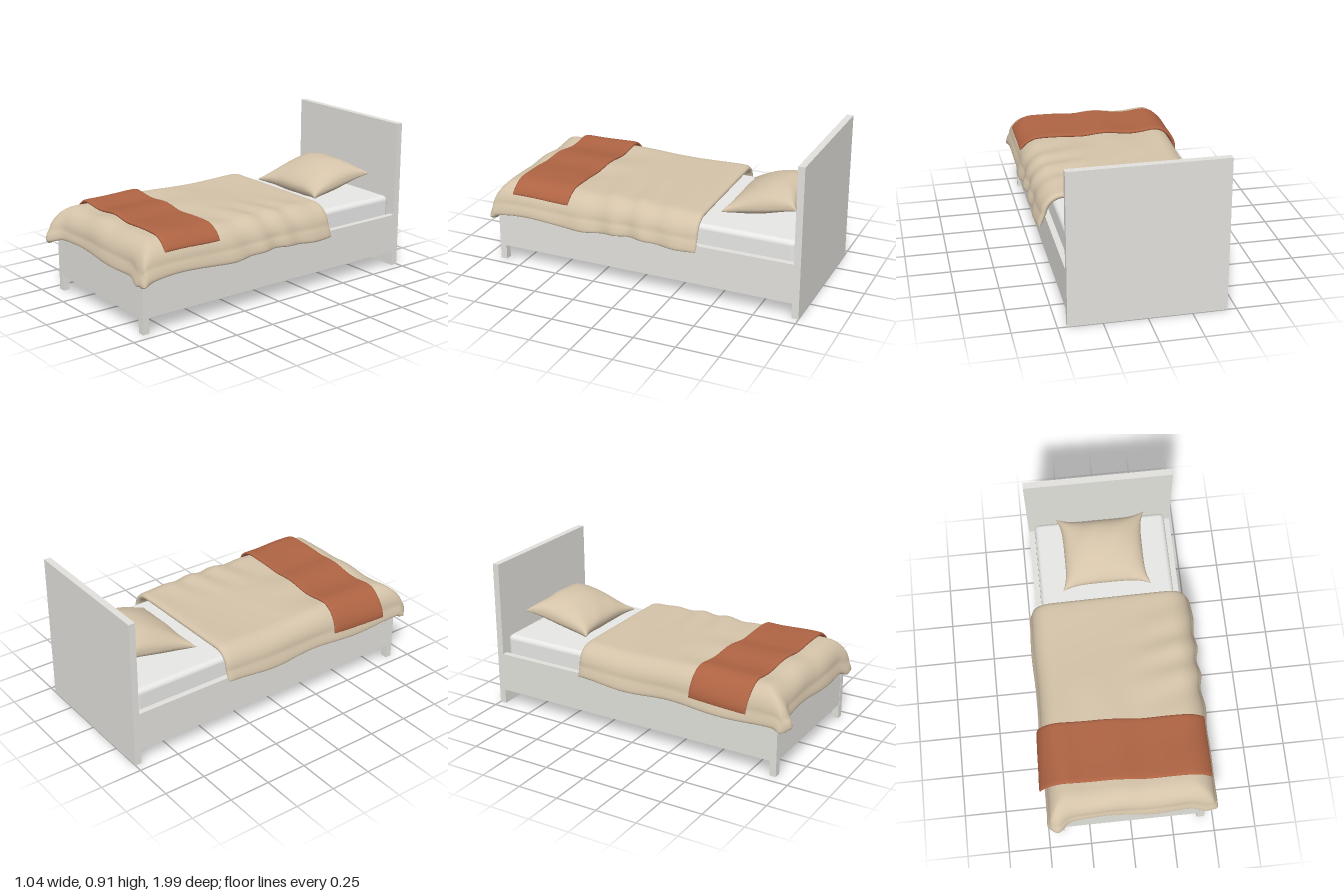
import * as THREE from 'three';
import { RoundedBoxGeometry } from 'three/addons/geometries/RoundedBoxGeometry.js';
import { mergeVertices } from 'three/addons/utils/BufferGeometryUtils.js';

const material = (name, color) => {
  const m = new THREE.MeshStandardMaterial({ color });
  m.name = name;
  return m;
};

// Closed soft sheet: f(u, v, side) gives a point on the upper (+1) or lower (-1) skin, u and v in -1..1
function softSheet(nu, nv, f, weld) {
  const pos = [], index = [];
  const warp = (i, n) => Math.sin((i / n - 0.5) * Math.PI); // more rows near the hems
  for (const side of [1, -1]) {
    const base = pos.length / 3;
    for (let j = 0; j <= nv; j++)
      for (let i = 0; i <= nu; i++) pos.push(...f(warp(i, nu), warp(j, nv), side));
    for (let j = 0; j < nv; j++)
      for (let i = 0; i < nu; i++) {
        const a = base + j * (nu + 1) + i, b = a + 1, c = a + nu + 1, d = c + 1;
        if (side > 0) index.push(a, c, b, b, c, d);
        else index.push(a, b, c, b, d, c);
      }
  }
  let g = new THREE.BufferGeometry();
  g.setAttribute('position', new THREE.Float32BufferAttribute(pos, 3));
  g.setIndex(index);
  if (weld) g = mergeVertices(g, 1e-5);
  g.computeVertexNormals();
  return g;
}

const { smoothstep } = THREE.MathUtils;
const bump = (x, c, w) => Math.exp(-(((x - c) / w) ** 2));
const hem = (u, v, n, m) => Math.sqrt(Math.max(0, (1 - Math.abs(u) ** n) * (1 - Math.abs(v) ** m)));

// Bend of cloth over a rounded edge: d is the cloth length past the edge, o the offset outwards
const R = 0.1;
function bend(d, o) {
  if (d <= 0) return { out: d, drop: 0, cos: 1 };
  const t = Math.min(d / R, Math.PI / 2), rest = Math.max(0, d - R * Math.PI / 2);
  return { out: (R + o) * Math.sin(t) + 0.38 * rest, drop: R * (1 - Math.cos(t)) + rest, cos: Math.cos(t) };
}

// Place flat cloth point (a, b) over the bed, with folds, at offset o
const HALF = 0.357, FOOT = 0.79;
function drape(a, b, o) {
  const side = Math.sign(a);
  const bx = bend(Math.abs(a) - HALF, o), bz = bend(b - FOOT, o);
  let x = side * (HALF + bx.out), z = FOOT + bz.out;
  let y = 0.491 - Math.cbrt(bx.drop ** 3 + bz.drop ** 3) + o * Math.min(bx.cos, bz.cos);
  y = Math.max(y, 0.31 + 0.25 * (y - 0.31));
  const sx = Math.min(1, bx.drop / 0.12), sz = Math.min(1, bz.drop / 0.12);
  // ripples across the foot and broad unevenness
  y += 0.008 * Math.cos(18 * (a + 0.05)) * smoothstep(b, 0.1, 0.45) * (1 - 0.85 * smoothstep(a, 0, 0.25)) * (1 - sz);
  y += 0.004 * Math.sin(9 * b + 3 * a);
  // cross folds on the left half
  const fold = Math.sin(27 * b + 7 * a + 1.5 * Math.sin(6 * b)) * bump(b, 0.08, 0.42);
  y += 0.007 * fold * smoothstep(a, 0, 0.4) * (1 - sx);
  x += sx * (side > 0 ? 0.012 + 0.009 * fold : 0.004 * Math.sin(11 * b));
  z += sz * 0.005 * Math.sin(13 * a);
  // gathered corners at the foot
  const corner = sz * bump(Math.abs(x), 0.44, 0.055);
  z += corner * (side > 0 ? 0.018 : 0.058);
  y -= corner * (side > 0 ? 0.035 : 0.02);
  return [x, y, z];
}

export function createModel() {
  const bed = new THREE.Group();
  bed.name = 'bed';
  const grey = material('frame grey', 0xe2e1dc);
  const white = material('mattress white', 0xf0f0ef);
  const beige = material('linen beige', 0xd4c3a9);
  const rust = material('throw rust', 0xae6343);

  const add = (name, geometry, mat) => {
    const mesh = new THREE.Mesh(geometry, mat);
    mesh.name = name;
    bed.add(mesh);
    return mesh;
  };
  // Box from minimum and maximum corners
  const box = (name, x0, x1, y0, y1, z0, z1) =>
    add(name, new THREE.BoxGeometry(x1 - x0, y1 - y0, z1 - z0), grey)
      .position.set((x0 + x1) / 2, (y0 + y1) / 2, (z0 + z1) / 2);

  // Frame
  box('headboard', -0.447, 0.447, 0, 0.907, -1, -0.96);
  box('footPanel', -0.412, 0.412, 0.09, 0.33, 0.87, 0.903);
  box('bedBase', -0.412, 0.412, 0.218, 0.25, -0.96, 0.87);
  for (const s of [1, -1]) {
    const name = s > 0 ? 'left' : 'right';
    const span = (a, b) => (s > 0 ? [a, b] : [-b, -a]);
    box(name + 'Rail', ...span(0.412, 0.447), 0.09, 0.33, -0.96, 0.905);
    box(name + 'FrontLeg', ...span(0.404, 0.447), 0, 0.09, 0.865, 0.905);
  }

  // Mattress
  add('mattress', new RoundedBoxGeometry(0.81, 0.205, 1.81, 4, 0.03), white)
    .position.set(0, 0.3425, -0.047);

  // Duvet hanging over the sides and foot
  add('duvet', softSheet(90, 110, (u, v, s) => {
    const o = s * 0.022 * hem(u, v, 30, 40);
    const length = 0.588 + 0.006 * Math.sin(7 * v + u);
    const back = -0.39 - 0.008 * u;
    return drape(u * length, back + (v + 1) / 2 * (1.013 - back + 0.008 * Math.sin(4 * u)), o);
  }, true), beige);

  // Folded throw across the foot
  add('throw', softSheet(70, 30, (u, v, s) => {
    const o = 0.036 + s * 0.011 * hem(u, v, 50, 24);
    const p = drape(-0.028 + u * 0.494, 0.578 + 0.019 * u + v * 0.183 + 0.003 * Math.sin(6 * u), o);
    p[0] -= (0.016 + 0.012 * v) * smoothstep(-u, 0.8, 1);
    return p;
  }, true), rust);

  // Pillow with pinched corners, tilted up towards the headboard
  const pillow = add('pillow', softSheet(44, 40, (u, v, s) => {
    const puff = ((1 - u * u) * (1 - v * v)) ** 0.42;
    const crease = 1 + 0.06 * Math.sin(9 * u + 4 * v) * (u * u + v * v) / 2;
    const lean = 1 + 0.25 * s * -v; // fuller on top at the back and below at the front
    return [
      0.272 * u * (1 - 0.12 * (1 - v ** 4)),
      s * (s > 0 ? 0.11 : 0.066) * puff * crease * lean,
      0.228 * v * (1 - 0.15 * (1 - u ** 4)),
    ];
  }, false), beige);
  pillow.position.set(0, 0.526, -0.683);
  pillow.rotation.x = 0.18;

  return bed;
}
